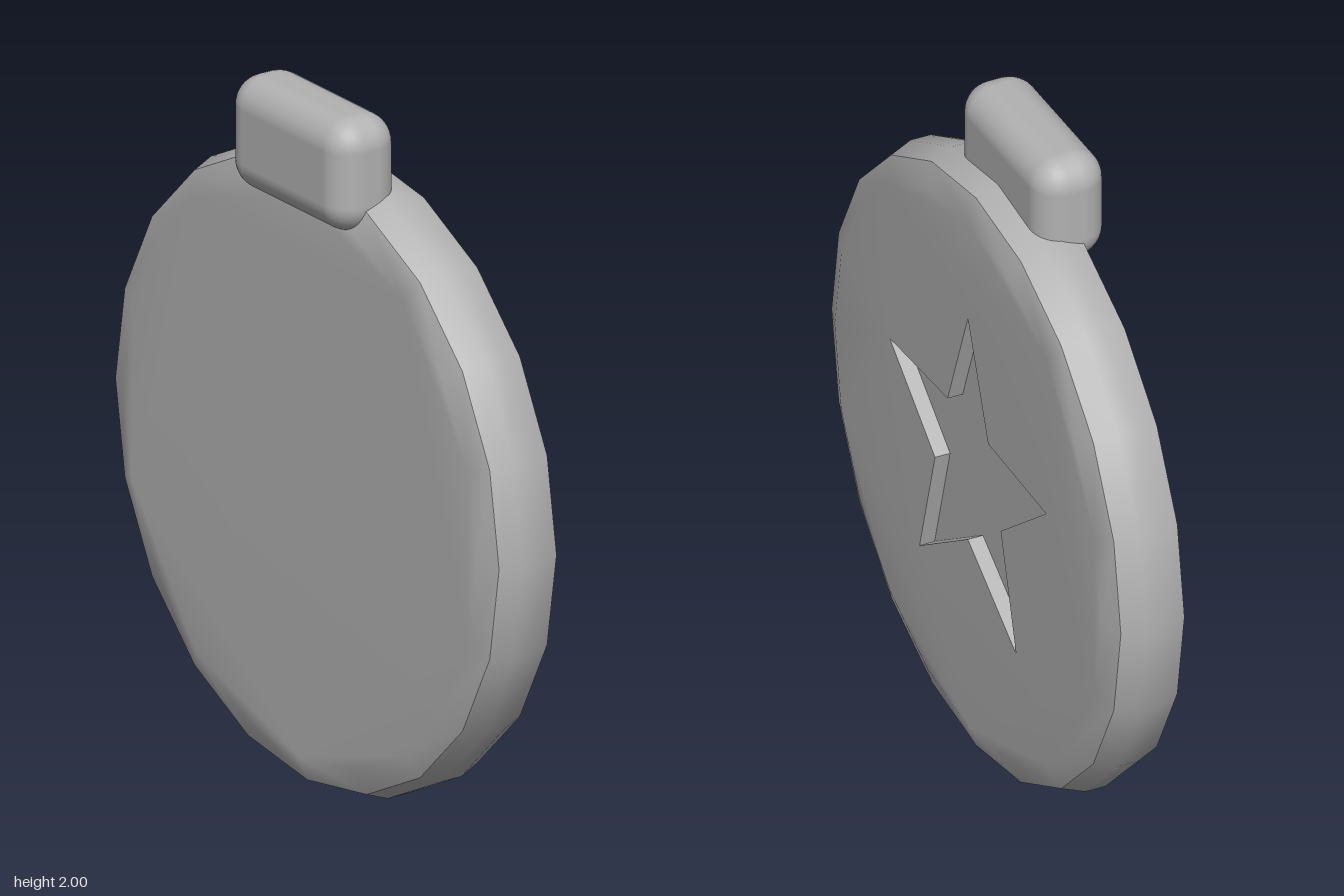
import * as THREE from 'three';
import { mergeGeometries, mergeVertices } from 'three/addons/utils/BufferGeometryUtils.js';
import { RoundedBoxGeometry } from 'three/addons/geometries/RoundedBoxGeometry.js';

const SIDES = 20, RIM = 0.905, EDGE = 0.88, FACE = 0.81, BEVEL = 0.025;
const STAR_DEPTH = 0.045;

// points on a ring starting at the top, counter-clockwise; radii alternate
function ringPoints(count, radii) {
  return Array.from({ length: count }, (_, i) => {
    const a = Math.PI / 2 + (i / count) * Math.PI * 2;
    const r = radii[i % radii.length];
    return new THREE.Vector2(Math.cos(a) * r, Math.sin(a) * r);
  });
}

// lathe around the z axis, profile given as [radius, z] with rising z
function latheZ(profile) {
  return new THREE.LatheGeometry(profile.map(([r, z]) => new THREE.Vector2(r, z)), SIDES).rotateX(Math.PI / 2);
}

// flat face at z = 0 joined smoothly to its sloping border, facing +z
function capGeometry(holePoints) {
  const shape = new THREE.Shape(ringPoints(SIDES, [FACE]));
  if (holePoints) shape.holes.push(new THREE.Path(holePoints));
  const parts = [new THREE.ShapeGeometry(shape), latheZ([[EDGE, -BEVEL], [FACE, 0]])];
  for (const g of parts) {
    g.deleteAttribute('normal');
    g.deleteAttribute('uv');
  }
  const cap = mergeVertices(mergeGeometries(parts), 1e-4);
  cap.computeVertexNormals();
  return cap;
}

// inward-facing walls of the star recess
function recessWalls(points, depth) {
  const pos = [];
  points.forEach((a, i) => {
    const b = points[(i + 1) % points.length];
    pos.push(b.x, b.y, -depth, a.x, a.y, -depth, a.x, a.y, 0);
    pos.push(b.x, b.y, -depth, a.x, a.y, 0, b.x, b.y, 0);
  });
  const g = new THREE.BufferGeometry();
  g.setAttribute('position', new THREE.Float32BufferAttribute(pos, 3));
  g.computeVertexNormals();
  return g;
}

export function createModel() {
  const grey = new THREE.MeshStandardMaterial({ color: 0xb2b2b2 });
  grey.name = 'grey';

  const model = new THREE.Group();
  model.name = 'medallion';
  const add = (parent, name, geometry) => {
    const mesh = new THREE.Mesh(geometry, grey);
    mesh.name = name;
    parent.add(mesh);
    return mesh;
  };

  // disc: rim, plain front and starred back
  const disc = new THREE.Group();
  disc.name = 'disc';
  disc.position.y = 0.91;
  model.add(disc);
  add(disc, 'rim', latheZ([[EDGE, -0.125], [RIM, -0.06], [RIM, 0], [EDGE, 0.065]]));
  add(disc, 'frontFace', capGeometry()).position.z = 0.09;

  const back = new THREE.Group();
  back.name = 'back';
  back.position.z = -0.15;
  back.rotation.y = Math.PI;
  disc.add(back);
  const star = ringPoints(10, [0.5, 0.21]);
  add(back, 'backFace', capGeometry(star));
  add(back, 'starWalls', recessWalls(star, STAR_DEPTH));
  add(back, 'starFloor', new THREE.ShapeGeometry(new THREE.Shape(star))).position.z = -STAR_DEPTH;

  // rounded block on the top edge
  add(model, 'hangerBlock', new RoundedBoxGeometry(0.54, 0.325, 0.21, 5, 0.085)).position.set(0, 1.8375, 0.045);

  return model;
}
